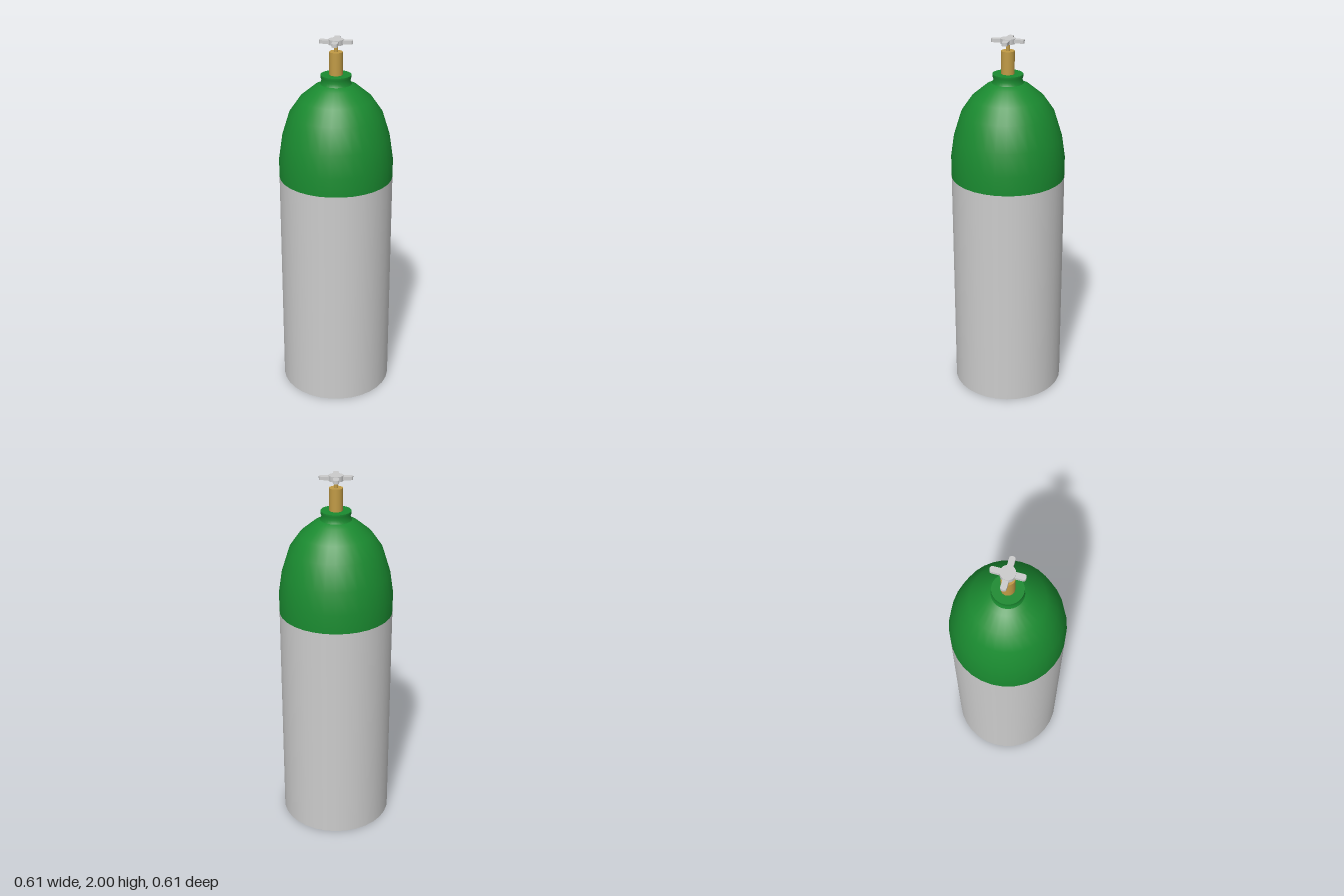
import * as THREE from 'three';

const SEGMENTS = 32;
const grey = new THREE.MeshStandardMaterial({ color: 0xcccccc });
const green = new THREE.MeshStandardMaterial({ color: 0x1a8a30 });
const brass = new THREE.MeshStandardMaterial({ color: 0xc09a45 });

function add(parent, name, geometry, material, y = 0) {
  const mesh = new THREE.Mesh(geometry, material);
  mesh.name = name;
  mesh.position.y = y;
  parent.add(mesh);
  return mesh;
}

function lathe(points, segments = SEGMENTS) {
  return new THREE.LatheGeometry(points.map(([r, y]) => new THREE.Vector2(r, y)), segments);
}

// Cylinder standing between two heights
function post(parent, name, radius, y0, y1, material, segments) {
  const geometry = new THREE.CylinderGeometry(radius, radius, y1 - y0, segments);
  return add(parent, name, geometry, material, (y0 + y1) / 2);
}

export function createModel() {
  const model = new THREE.Group();
  model.name = 'gasCylinder';

  // Straight body with a flat base
  post(model, 'body', 0.305, 0, 1.255, grey, SEGMENTS);

  // Painted shoulder, rounding in to the neck
  add(model, 'shoulder', lathe([
    [0.305, 1.255], [0.305, 1.36], [0.287, 1.48], [0.246, 1.61],
    [0.19, 1.69], [0.115, 1.752], [0.083, 1.767],
  ]), green);

  // Neck with a slightly flared lip
  add(model, 'neck', lathe([[0.083, 1.767], [0.075, 1.785], [0.08, 1.803], [0.08, 1.815]]), green);
  const neckTop = add(model, 'neckTop', new THREE.CircleGeometry(0.08, SEGMENTS), green, 1.815);
  neckTop.rotation.x = -Math.PI / 2;

  // Valve
  post(model, 'valveBody', 0.035, 1.815, 1.935, brass, SEGMENTS);
  post(model, 'valveStem', 0.011, 1.935, 1.98, brass, 16);

  // Hand wheel: hub with four round-ended arms
  const handle = new THREE.Group();
  handle.name = 'handWheel';
  model.add(handle);
  post(handle, 'hub', 0.038, 1.973, 2, grey, SEGMENTS);

  const arm = new THREE.Shape();
  arm.moveTo(0, -0.015);
  arm.lineTo(0.076, -0.015);
  arm.quadraticCurveTo(0.086, -0.015, 0.087, 0);
  arm.quadraticCurveTo(0.086, 0.015, 0.076, 0.015);
  arm.lineTo(0, 0.015);
  const armGeometry = new THREE.ExtrudeGeometry(arm, { depth: 0.018, bevelEnabled: false, curveSegments: 4 });
  armGeometry.rotateX(-Math.PI / 2);
  for (let i = 0; i < 4; i++) {
    const mesh = add(handle, 'handleArm', armGeometry, grey, 1.978);
    mesh.rotation.y = Math.PI / 4 + i * Math.PI / 2;
  }

  return model;
}
